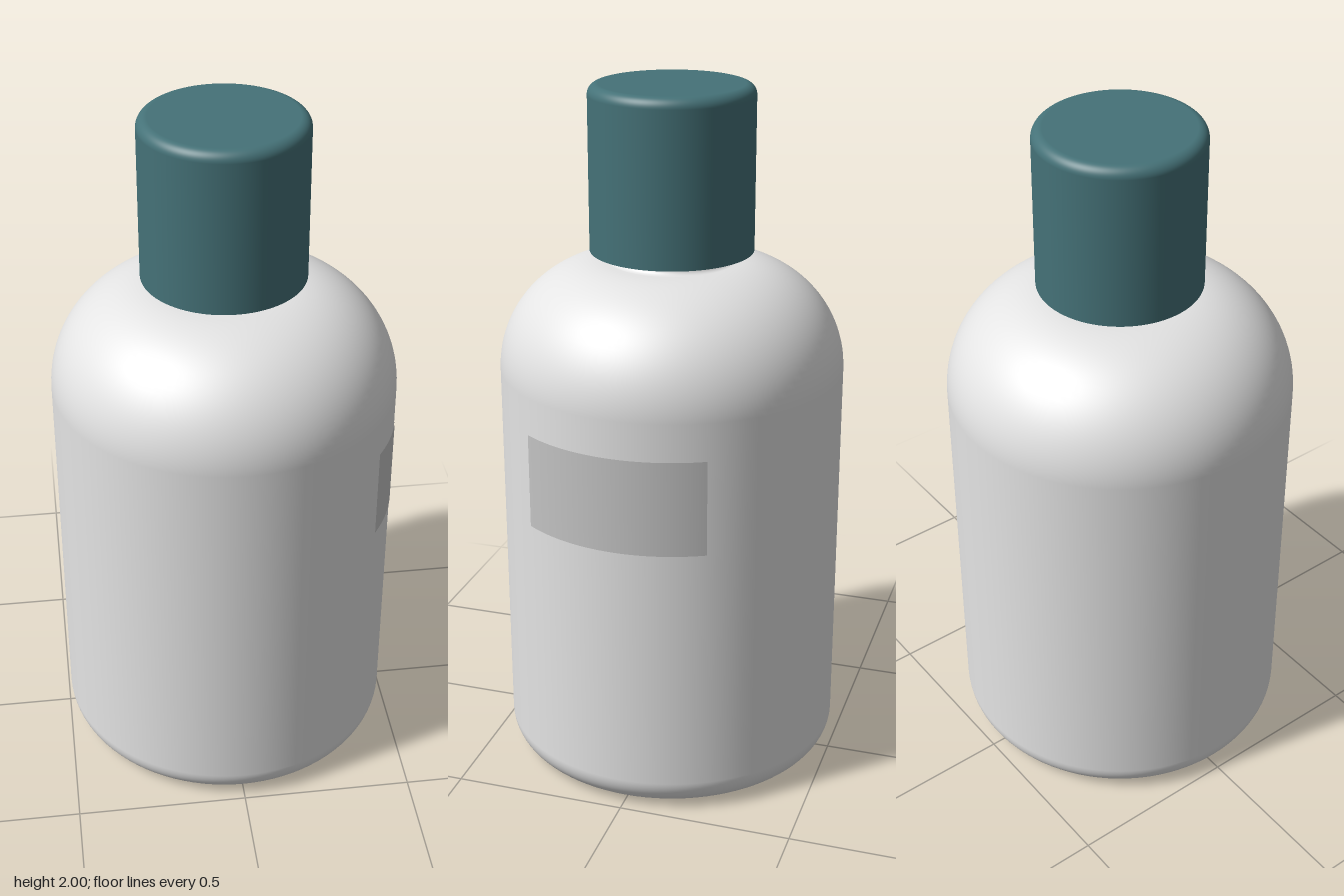
import * as THREE from 'three';

const mat = (name, color) => {
  const m = new THREE.MeshStandardMaterial({ color });
  m.name = name;
  return m;
};

export function createModel() {
  const white = mat('bottle white', 0xe4e4e4);
  const grey = mat('label grey', 0xc4c4c4);
  const teal = mat('cap teal', 0x457278);

  const group = new THREE.Group();
  group.name = 'bottle';
  const add = (name, geometry, material) => {
    const mesh = new THREE.Mesh(geometry, material);
    mesh.name = name;
    group.add(mesh);
    return mesh;
  };

  const R = 0.493;

  // Body: flat base, rounded foot, straight wall, domed shoulder and neck
  const body = new THREE.Path();
  body.moveTo(0, 0);
  body.lineTo(R - 0.09, 0);
  body.absarc(R - 0.09, 0.09, 0.09, -Math.PI / 2, 0, false);
  body.lineTo(R, 1.195);
  body.absarc(R - 0.31, 1.195, 0.31, 0, Math.PI / 2, false);
  body.quadraticCurveTo(0.165, 1.507, 0.165, 1.53);
  body.lineTo(0.165, 1.56);
  // drop coincident points where segments join
  const profile = body.getPoints(14).filter((p, i, a) => i === 0 || p.distanceTo(a[i - 1]) > 1e-5);
  add('body', new THREE.LatheGeometry(profile, 96), white);

  // Label: thin curved patch on the left side of the body
  const labelR = R + 0.002;
  const start = Math.acos(0.29 / labelR);
  const end = Math.acos(-0.235 / labelR);
  const label = new THREE.CylinderGeometry(labelR, labelR, 0.275, 32, 1, true, start, end - start);
  add('label', label, grey).position.y = 0.95;

  // Cap: straight wall with a softly rounded top edge
  const capR = 0.232, bevel = 0.03, capBottom = 1.535;
  const cap = new THREE.Path();
  cap.moveTo(capR, capBottom);
  cap.lineTo(capR, 2 - bevel);
  cap.absarc(capR - bevel, 2 - bevel, bevel, 0, Math.PI / 2, false);
  cap.lineTo(0, 2);
  const capProfile = cap.getPoints(8).filter((p, i, a) => i === 0 || p.distanceTo(a[i - 1]) > 1e-5);
  add('cap', new THREE.LatheGeometry(capProfile, 96), teal);

  // Cap underside, kept separate for a crisp lower edge
  const underside = add('capUnderside', new THREE.RingGeometry(0.16, capR, 96), teal);
  underside.rotation.x = Math.PI / 2;
  underside.position.y = capBottom;

  return group;
}
